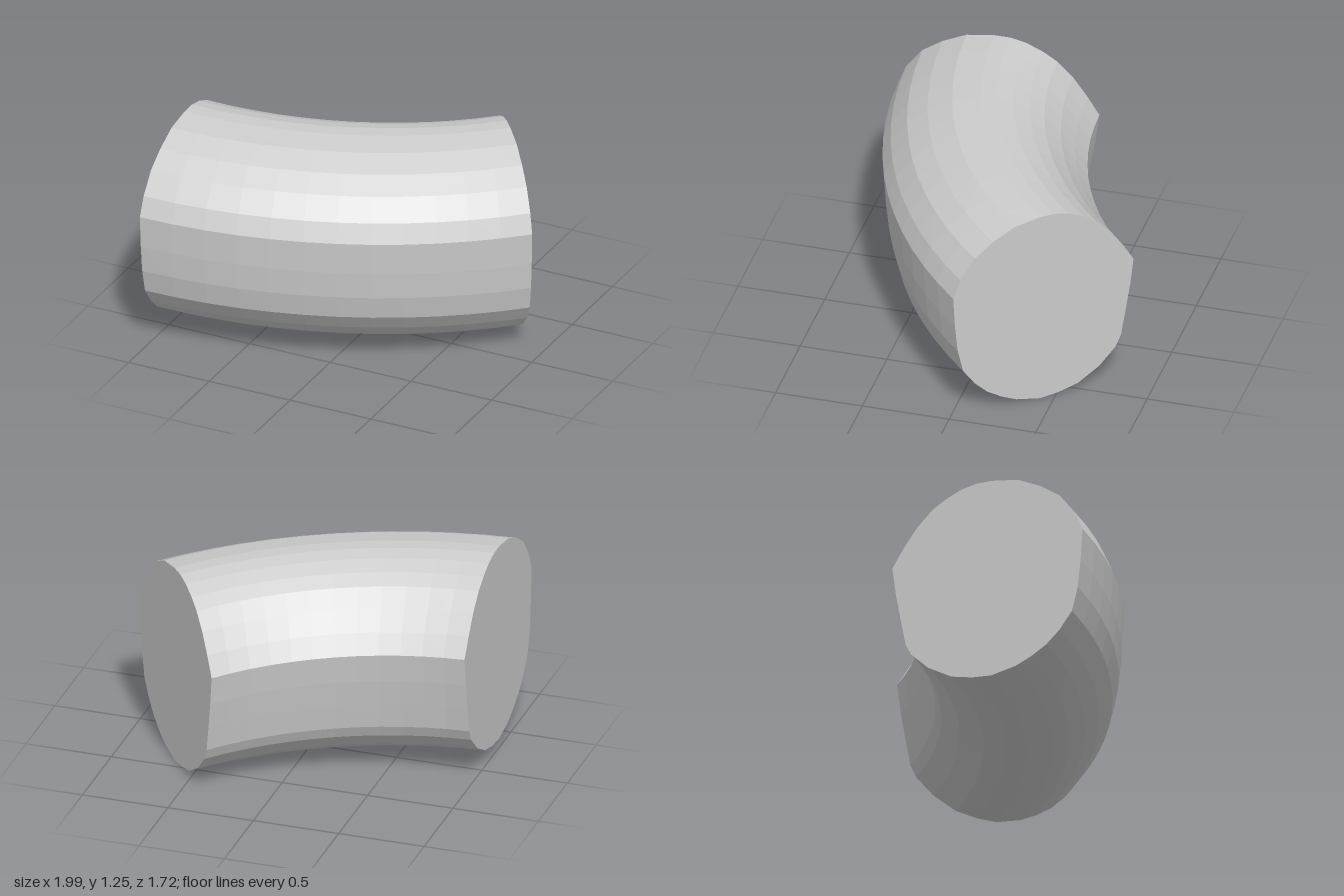
import * as THREE from 'three';

// Cross-section [u, y]: u runs from 0 (inside of the bend) to 1 (outside).
// Starts at the crown, goes down the flat inner wall, back up the outer wall.
const SECTION = [
  [0.52, 1.19], [0.44, 1.19], [0.36, 1.17], [0.28, 1.13], [0.21, 1.08], [0.13, 0.99],
  [0.06, 0.88], [0.0, 0.77], [0.02, 0.6], [0.045, 0.44], [0.07, 0.29], [0.1, 0.22],
  [0.19, 0.12], [0.31, 0.04], [0.42, 0.01], [0.52, 0.0], [0.65, 0.03], [0.73, 0.07],
  [0.81, 0.125], [0.88, 0.2], [0.945, 0.3], [0.975, 0.44], [0.99, 0.6], [1.0, 0.79],
  [0.96, 0.9], [0.88, 1.02], [0.78, 1.1], [0.66, 1.165],
];
const N = SECTION.length;
const RINGS = 12;
const BEND = { x: -1, z: -2.41, angle: 0.695 };

// One section placed on the bend at t (0 = straight end, 1 = turned end)
function ring(t) {
  const a = BEND.angle * t;
  const bulge = 0.09 * t * (1 - t);
  const inner = THREE.MathUtils.lerp(2.11, 2.015, t) + bulge;
  const outer = THREE.MathUtils.lerp(3.27, 3.11, t) + bulge;
  const lift = 0.055 * (1 - t);
  return SECTION.map(([u, y]) => {
    const r = THREE.MathUtils.lerp(inner, outer, u);
    return [BEND.x + r * Math.sin(a), y + lift, BEND.z + r * Math.cos(a)];
  });
}

function makeMesh(name, points, index) {
  const geometry = new THREE.BufferGeometry();
  geometry.setAttribute('position', new THREE.Float32BufferAttribute(points.flat(), 3));
  geometry.setIndex(index);
  geometry.computeVertexNormals();
  const material = new THREE.MeshStandardMaterial({ color: 0xcccccc, flatShading: true });
  const mesh = new THREE.Mesh(geometry, material);
  mesh.name = name;
  return mesh;
}

// Curved wall lofted through the rings
function makeWall() {
  const points = [], index = [];
  for (let i = 0; i <= RINGS; i++) points.push(...ring(i / RINGS));
  for (let i = 0; i < RINGS; i++) {
    for (let j = 0; j < N; j++) {
      const a = i * N + j, b = i * N + (j + 1) % N;
      const c = a + N, d = b + N;
      // alternate the diagonals for a faceted surface
      if ((i + j) % 2) index.push(a, c, b, b, c, d);
      else index.push(a, c, d, a, d, b);
    }
  }
  return makeMesh('curvedPipe', points, index);
}

// Flat end closing the pipe at t
function makeCap(name, t) {
  const points = ring(t), index = [];
  const centre = [0, 1, 2].map((k) => points.reduce((sum, p) => sum + p[k], 0) / N);
  points.push(centre);
  for (let j = 0; j < N; j++) {
    const k = (j + 1) % N;
    if (t === 0) index.push(N, j, k);
    else index.push(N, k, j);
  }
  return makeMesh(name, points, index);
}

export function createModel() {
  const group = new THREE.Group();
  group.name = 'bentPipeSection';
  group.add(makeWall(), makeCap('straightEndCap', 0), makeCap('turnedEndCap', 1));
  return group;
}
